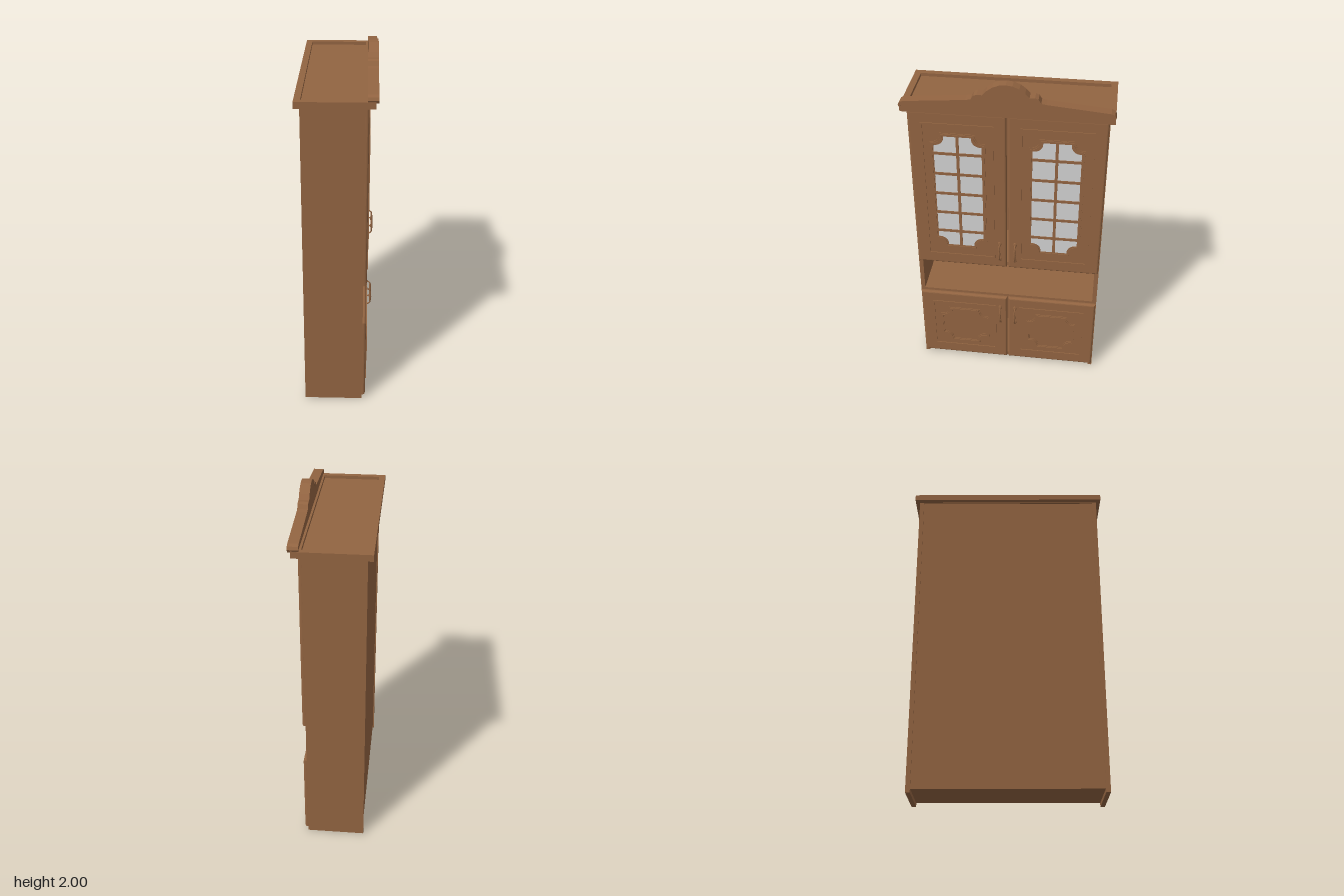
import * as THREE from 'three';

const wood = new THREE.MeshStandardMaterial({ color: 0x926441 });
wood.name = 'brown wood';
const glass = new THREE.MeshStandardMaterial({ color: 0xd2d2d2 });
glass.name = 'pale glass';

// Helpers work in a frame where the doors face +z; the whole is turned at the end.
function add(parent, name, geometry, material = wood) {
  const mesh = new THREE.Mesh(geometry, material);
  mesh.name = name;
  parent.add(mesh);
  return mesh;
}

function box(parent, name, x0, x1, y0, y1, z0, z1, material = wood) {
  const m = add(parent, name, new THREE.BoxGeometry(x1 - x0, y1 - y0, z1 - z0), material);
  m.position.set((x0 + x1) / 2, (y0 + y1) / 2, (z0 + z1) / 2);
  return m;
}

function extrude(parent, name, shape, z0, z1, material = wood) {
  const geo = new THREE.ExtrudeGeometry(shape, { depth: z1 - z0, bevelEnabled: false, curveSegments: 8 });
  const m = add(parent, name, geo, material);
  m.position.z = z0;
  return m;
}

function trace(path, pts) {
  pts.forEach(([x, y], i) => (i ? path.lineTo(x, y) : path.moveTo(x, y)));
  path.closePath();
  return path;
}

const rect = (w, h, P = THREE.Shape) => trace(new P(), [[-w, -h], [w, -h], [w, h], [-w, h]]);

// Rectangle with scooped corners and a small shoulder at each end of the scoop
function scooped(w, h, r, P = THREE.Shape) {
  const path = new P(), s = 0.008;
  path.moveTo(-w + r + s, -h);
  [[1, -1, Math.PI], [1, 1, -Math.PI / 2], [-1, 1, 0], [-1, -1, Math.PI / 2]].forEach(([sx, sy, a]) => {
    const alongX = sx * sy < 0;
    const b = [[w - r - s, h], [w - r - s, h - s]], c = [[w, h - r - s], [w - s, h - r - s]];
    const [first, last] = alongX ? [b, c] : [c, b];
    path.lineTo(sx * first[0][0], sy * first[0][1]);
    path.lineTo(sx * first[1][0], sy * first[1][1]);
    path.absarc(sx * (w - s), sy * (h - s), r, a, a - Math.PI / 2, true);
    path.lineTo(sx * last[1][0], sy * last[1][1]);
    path.lineTo(sx * last[0][0], sy * last[0][1]);
  });
  path.closePath();
  return path;
}

function ring(outer, inner) {
  outer.holes.push(inner);
  return outer;
}

// Bow handle on two feet with a swollen grip
function addHandle(parent, x, y) {
  const g = new THREE.Group();
  g.name = 'handle';
  const bow = new THREE.CatmullRomCurve3([[-0.055, 0], [-0.045, 0.018], [0, 0.024], [0.045, 0.018], [0.055, 0]]
    .map(([v, z]) => new THREE.Vector3(0, v, z)));
  add(g, 'handleBow', new THREE.TubeGeometry(bow, 20, 0.004, 8));
  const grip = [[0, -0.04], [0.005, -0.034], [0.005, -0.02], [0.008, 0], [0.005, 0.02], [0.005, 0.034], [0, 0.04]];
  add(g, 'handleGrip', new THREE.LatheGeometry(grip.map(p => new THREE.Vector2(...p)), 12)).position.z = 0.022;
  for (const s of [-1, 1]) {
    const foot = add(g, 'handleFoot', new THREE.SphereGeometry(0.011, 12, 8));
    foot.scale.set(1, 1.5, 0.4);
    foot.position.set(0, s * 0.056, 0);
  }
  g.position.set(x, y, 0.168);
  parent.add(g);
}

// Door with softened edges, a beaded field and a scooped panel or window
function addDoor(parent, side, y0, y1, panelY0, panelY1, handleY, glazed) {
  const g = new THREE.Group();
  g.name = glazed ? 'glazedDoor' : 'lowerDoor';
  const w = 0.266, h = (y1 - y0) / 2, b = 0.012;
  const slab = add(g, 'doorSlab', new THREE.ExtrudeGeometry(rect(w, h), {
    depth: 0.006, bevelThickness: b, bevelSize: b, bevelOffset: -b, bevelSegments: 4,
  }));
  slab.position.z = 0.146;

  // Thin bead around the raised field
  const fw = 0.198, fh = h - 0.067;
  extrude(g, 'fieldBead', ring(rect(fw, fh), rect(fw - 0.01, fh - 0.01, THREE.Path)), 0.16, 0.169);

  // Scooped moulding in two steps
  const pw = 0.152, ph = (panelY1 - panelY0) / 2;
  const panel = new THREE.Group();
  panel.name = glazed ? 'window' : 'scoopedPanel';
  panel.position.y = (panelY0 + panelY1) / 2 - (y0 + y1) / 2;
  g.add(panel);
  const hole = (d) => scooped(pw - d, ph - d, 0.048, THREE.Path);
  extrude(panel, 'outerMoulding', ring(scooped(pw, ph, 0.048), hole(0.02)), 0.16, 0.168);
  extrude(panel, 'innerMoulding', ring(scooped(pw - 0.006, ph - 0.006, 0.048), hole(0.014)), 0.16, 0.172);

  if (glazed) {
    extrude(panel, 'glassPane', scooped(pw - 0.018, ph - 0.018, 0.048), 0.16, 0.1655, glass);
    box(panel, 'verticalBar', -0.008, 0.008, -ph + 0.015, ph - 0.015, 0.16, 0.17);
    for (let i = 0; i < 5; i++) {
      const y = (i - 2) * 0.131 - 0.003;
      box(panel, 'crossBar', -pw + 0.015, pw - 0.015, y - 0.008, y + 0.008, 0.16, 0.17);
    }
  }
  g.position.set(side * 0.27, (y0 + y1) / 2, 0);
  parent.add(g);
  addHandle(parent, side * 0.045, handleY);
}

function addPediment(parent) {
  const half = [[0, 2], [0.035, 1.996], [0.07, 1.982], [0.1, 1.96], [0.122, 1.936], [0.15, 1.937], [0.168, 1.93],
    [0.182, 1.908], [0.21, 1.903], [0.54, 1.874], [0.56, 1.866], [0.567, 1.85]];
  const top = [...half.slice(1).reverse().map(([x, y]) => [-x, y]), ...half];
  const under = top.map(([x, y]) => [x * 0.985, y - 0.016]).reverse();
  extrude(parent, 'pedimentMoulding', trace(new THREE.Shape(), [...top, ...under]), 0.155, 0.211);
  const board = [[-0.56, 1.805], ...under.slice().reverse().map(([x, y]) => [x, y + 0.004]), [0.56, 1.805]];
  extrude(parent, 'pedimentBoard', trace(new THREE.Shape(), board), 0.157, 0.197);
}

export function createModel() {
  const model = new THREE.Group();
  model.name = 'cabinet';
  const body = new THREE.Group();
  body.name = 'cabinetBody';
  body.rotation.y = Math.PI / 2;
  model.add(body);

  // Carcass
  for (const s of [-1, 1]) {
    box(body, 'sidePanel', s * 0.5275 - 0.0125, s * 0.5275 + 0.0125, 0, 1.81, -0.185, 0.145);
  }
  box(body, 'backPanel', -0.516, 0.516, 0.02, 1.81, -0.178, -0.168);
  box(body, 'bottomBoard', -0.516, 0.516, 0.022, 0.045, -0.17, 0.143);
  box(body, 'nicheFloor', -0.516, 0.516, 0.515, 0.54, -0.17, 0.143);
  box(body, 'nicheCeiling', -0.516, 0.516, 0.772, 0.795, -0.17, 0.143);
  box(body, 'topBoard', -0.535, 0.535, 1.8, 1.822, -0.185, 0.15);

  // Cornice rim around the sunken top
  box(body, 'corniceBack', -0.565, 0.565, 1.805, 1.84, -0.215, -0.18);
  box(body, 'corniceFront', -0.565, 0.565, 1.805, 1.84, 0.145, 0.196);
  for (const s of [-1, 1]) {
    box(body, 'corniceSide', s * 0.547 - 0.018, s * 0.547 + 0.018, 1.805, 1.84, -0.18, 0.145);
  }
  addPediment(body);

  // Doors
  for (const s of [-1, 1]) {
    addDoor(body, s, 0.77, 1.795, 0.895, 1.67, 0.89, true);
    addDoor(body, s, 0.025, 0.525, 0.13, 0.412, 0.392, false);
  }
  return model;
}
